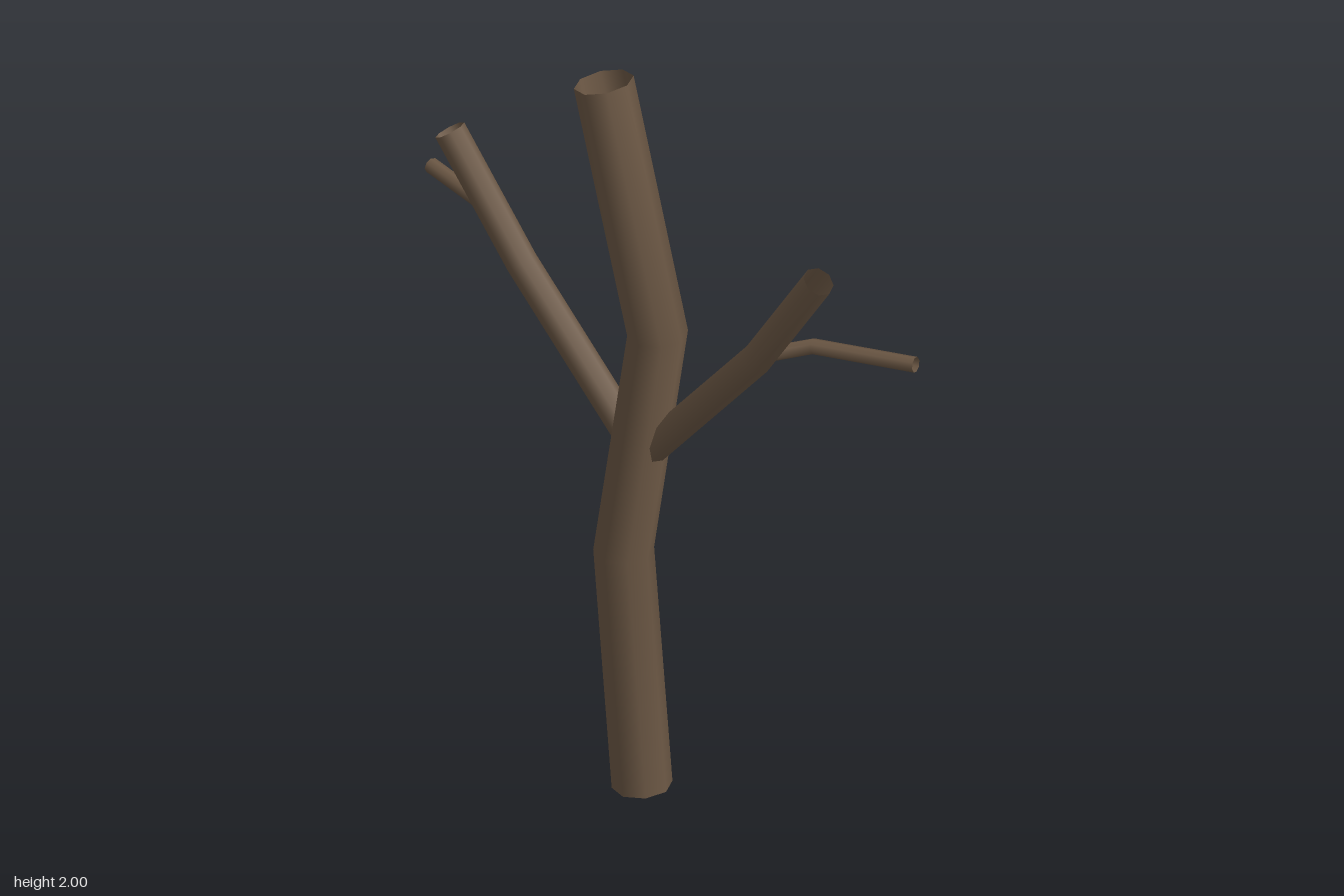
import * as THREE from 'three';

// Straight-segmented path; each point becomes one ring of the tube
class Polyline extends THREE.Curve {
  constructor(points) {
    super();
    this.points = points;
  }
  getPoint(t, target = new THREE.Vector3()) {
    const n = this.points.length - 1;
    const i = Math.min(Math.floor(t * n), n - 1);
    return target.lerpVectors(this.points[i], this.points[i + 1], t * n - i);
  }
  getPointAt(u, target) { return this.getPoint(u, target); }
  getTangentAt(u, target) { return this.getTangent(u, target); }
}

export function createModel() {
  const tree = new THREE.Group();
  tree.name = 'bareTree';
  const bark = new THREE.MeshStandardMaterial({ color: 0x6b5744, side: THREE.DoubleSide });

  // Open eight-sided limb through the given points, optionally mirrored in x
  function limb(name, radius, points, side = 1) {
    const path = new Polyline(points.map(([x, y, z]) => new THREE.Vector3(side * x, y, z)));
    const mesh = new THREE.Mesh(new THREE.TubeGeometry(path, points.length - 1, radius, 8, false), bark);
    mesh.name = name;
    tree.add(mesh);
  }

  // Crooked trunk
  limb('trunk', 0.075, [[-0.003, 0.01, 0.03], [-0.06, 0.667, 0.03], [0.045, 1.325, 0.03], [-0.122, 1.982, 0.03]]);

  // A bent branch with a twig swept backwards on each side
  for (const [label, side] of [['left', 1], ['right', -1]]) {
    limb(label + 'Branch', 0.04, [[0, 0.955, 0.03], [0.365, 1.38, 0.045], [0.572, 1.69, 0.065]], side);
    limb(label + 'Twig', 0.02, [[0.36, 1.385, 0.045], [0.477, 1.42, -0.035], [0.752, 1.445, -0.09]], side);
  }
  return tree;
}
